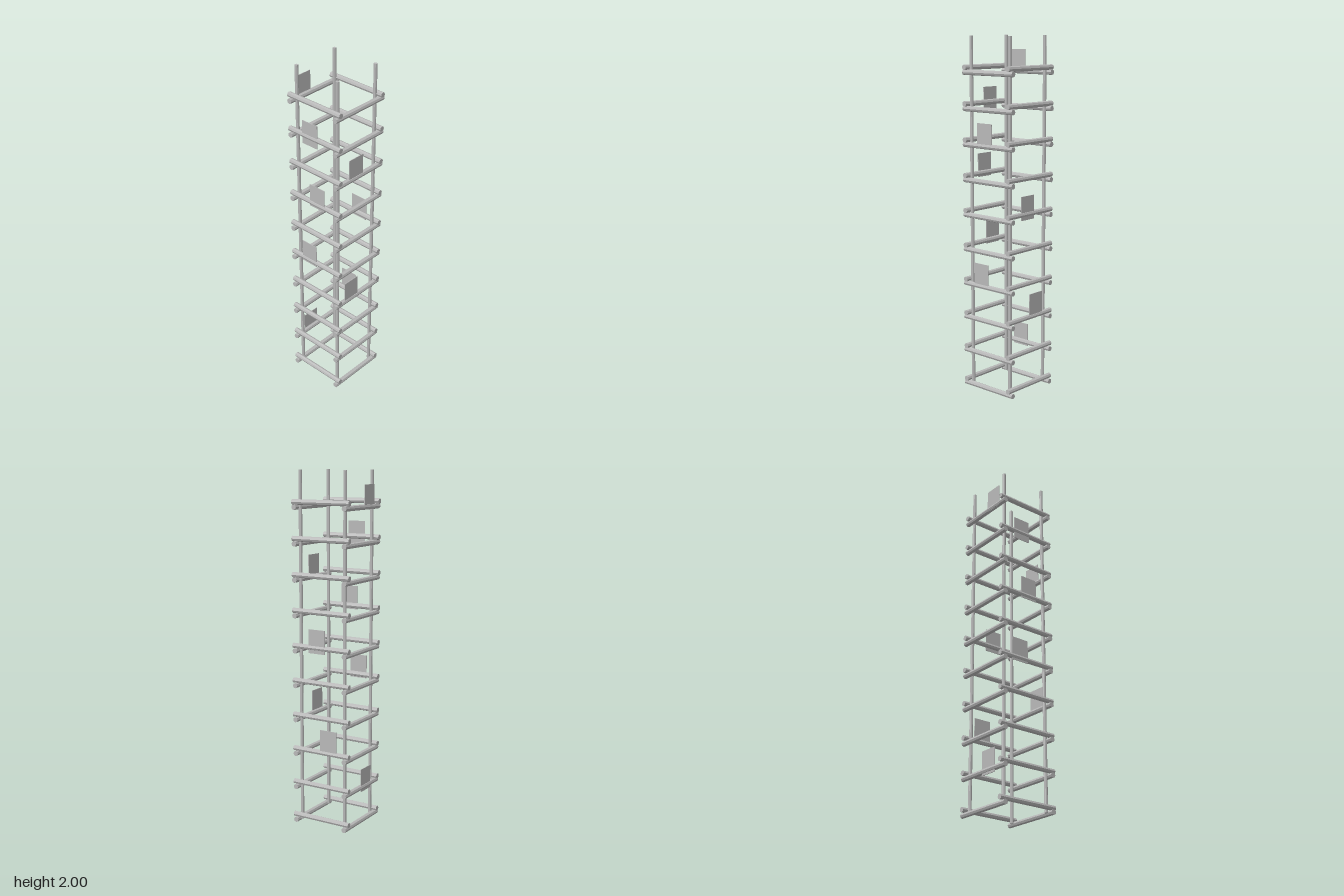
import * as THREE from 'three';

export function createModel() {
  const tower = new THREE.Group();
  tower.name = 'scaffoldTower';
  const steel = new THREE.MeshStandardMaterial({ color: 0xb8b8b8, flatShading: true });
  steel.name = 'grey steel';

  const add = (name, geometry, x, y, z) => {
    const mesh = new THREE.Mesh(geometry, steel);
    mesh.name = name;
    mesh.position.set(x, y, z);
    tower.add(mesh);
  };

  const base = 0.015, step = 0.1985, levels = 10;
  const barOffset = 0.16, poleOffset = 0.142;

  // Four corner poles
  const poleHeight = 2 - base;
  const pole = new THREE.CylinderGeometry(0.01, 0.01, poleHeight, 8);
  for (const x of [-1, 1]) {
    for (const z of [-1, 1]) {
      add('cornerPole', pole, x * poleOffset, base + poleHeight / 2, z * poleOffset);
    }
  }

  // Crossing bars: side bars rest on the front and back bars at each level
  const bar = new THREE.CylinderGeometry(0.015, 0.015, 0.364, 8);
  const barX = bar.clone().rotateZ(Math.PI / 2);
  const barZ = bar.clone().rotateX(Math.PI / 2);
  for (let i = 0; i < levels; i++) {
    const y = base + i * step;
    for (const s of [-1, 1]) {
      add('crossBar', barX, 0, y, s * barOffset);
      add('sideBar', barZ, s * barOffset, y + 0.027, 0);
    }
  }

  // Thin plates fixed to the bars: [side, position along the side, centre height]
  const plateX = new THREE.BoxGeometry(0.106, 0.134, 0.004);
  const plateZ = new THREE.BoxGeometry(0.004, 0.134, 0.106);
  const plateOffset = 0.166;
  const endPlates = [
    [-1, -0.047, 0.256], [1, -0.053, 0.674], [1, -0.024, 1.463], [-1, -0.073, 1.855],
  ];
  const sidePlates = [
    [1, -0.048, 0.505], [-1, -0.048, 0.881], [1, 0.025, 1.07], [-1, 0.016, 1.278], [-1, -0.032, 1.648],
  ];
  for (const [s, x, y] of endPlates) add('endPlate', plateX, x, y, s * plateOffset);
  for (const [s, z, y] of sidePlates) add('sidePlate', plateZ, s * plateOffset, y, z);

  return tower;
}
